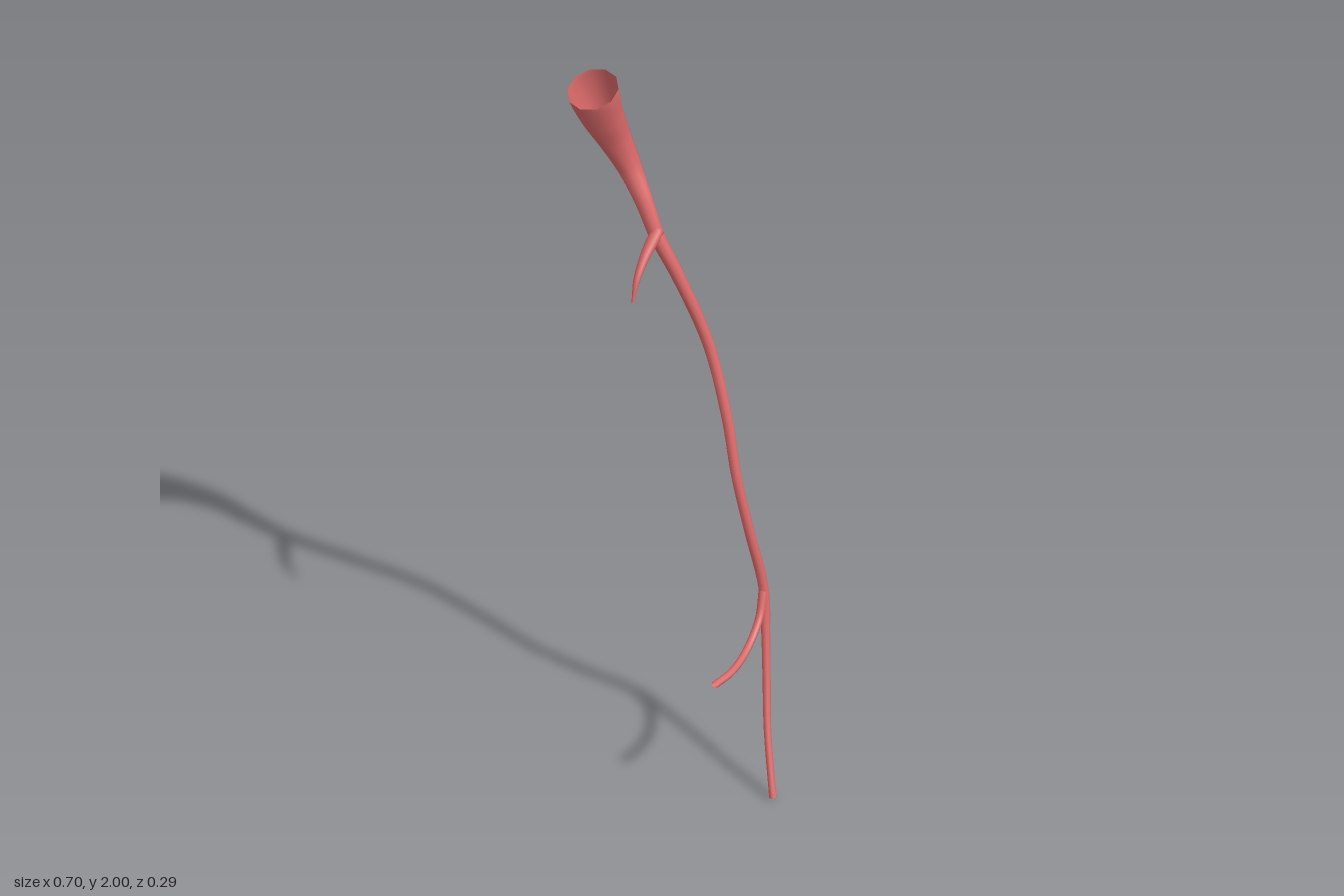
import * as THREE from 'three';

const SIDES = 10;

// Open tapering tube through stations [x, y, z, radius]
function vessel(name, stations, rings, material) {
  const path = new THREE.CatmullRomCurve3(stations.map(([x, y, z]) => new THREE.Vector3(x, y, z)));
  const radii = new THREE.SplineCurve(stations.map(s => new THREE.Vector2(s[3], 0)));
  const positions = [], index = [];
  for (let i = 0; i <= rings; i++) {
    const u = i / rings;
    const p = path.getPoint(u), t = path.getTangent(u), r = radii.getPoint(u).x;
    // Cross-section frame, levelled against the x axis
    const n = new THREE.Vector3(1, 0, 0).addScaledVector(t, -t.x).normalize();
    const b = new THREE.Vector3().crossVectors(t, n);
    for (let j = 0; j < SIDES; j++) {
      const a = (j / SIDES) * Math.PI * 2;
      const v = p.clone().addScaledVector(n, r * Math.cos(a)).addScaledVector(b, r * Math.sin(a));
      positions.push(v.x, v.y, v.z);
      if (i < rings) {
        const k = (j + 1) % SIDES, c = i * SIDES, d = c + SIDES;
        index.push(c + j, c + k, d + j, c + k, d + k, d + j);
      }
    }
  }
  const geometry = new THREE.BufferGeometry();
  geometry.setAttribute('position', new THREE.Float32BufferAttribute(positions, 3));
  geometry.setIndex(index);
  geometry.computeVertexNormals();
  const mesh = new THREE.Mesh(geometry, material);
  mesh.name = name;
  return mesh;
}

export function createModel() {
  const group = new THREE.Group();
  group.name = 'branchingVessel';
  const material = new THREE.MeshStandardMaterial({ color: 0xd96868, side: THREE.DoubleSide });

  // Main vessel, from the wide open mouth down to the thin tip
  group.add(vessel('trunk', [
    [-0.28, 1.973, 0.078, 0.07],
    [-0.285, 1.88, 0.042, 0.059],
    [-0.283, 1.79, 0.002, 0.046],
    [-0.256, 1.7, -0.026, 0.034],
    [-0.2, 1.61, -0.031, 0.025],
    [-0.157, 1.52, -0.038, 0.021],
    [-0.108, 1.4, -0.07, 0.018],
    [-0.04, 1.2, -0.115, 0.016],
    [0.035, 1.0, -0.114, 0.015],
    [0.083, 0.85, -0.103, 0.014],
    [0.122, 0.7, -0.112, 0.014],
    [0.158, 0.52, -0.132, 0.014],
    [0.19, 0.4, -0.111, 0.012],
    [0.225, 0.29, -0.083, 0.011],
    [0.268, 0.17, -0.048, 0.01],
    [0.337, 0.005, -0.006, 0.01],
  ], 90, material));

  // Short tapering branch near the top
  group.add(vessel('upperBranch', [
    [-0.155, 1.54, -0.04, 0.017],
    [-0.148, 1.515, -0.01, 0.016],
    [-0.138, 1.485, 0.025, 0.013],
    [-0.124, 1.44, 0.063, 0.009],
    [-0.113, 1.386, 0.086, 0.004],
  ], 20, material));

  // Curved branch at the lower fork
  group.add(vessel('lowerBranch', [
    [0.158, 0.52, -0.132, 0.013],
    [0.178, 0.455, -0.1, 0.011],
    [0.2, 0.412, -0.05, 0.01],
    [0.222, 0.392, 0.0, 0.01],
    [0.244, 0.383, 0.06, 0.01],
    [0.255, 0.38, 0.125, 0.01],
  ], 30, material));

  return group;
}
